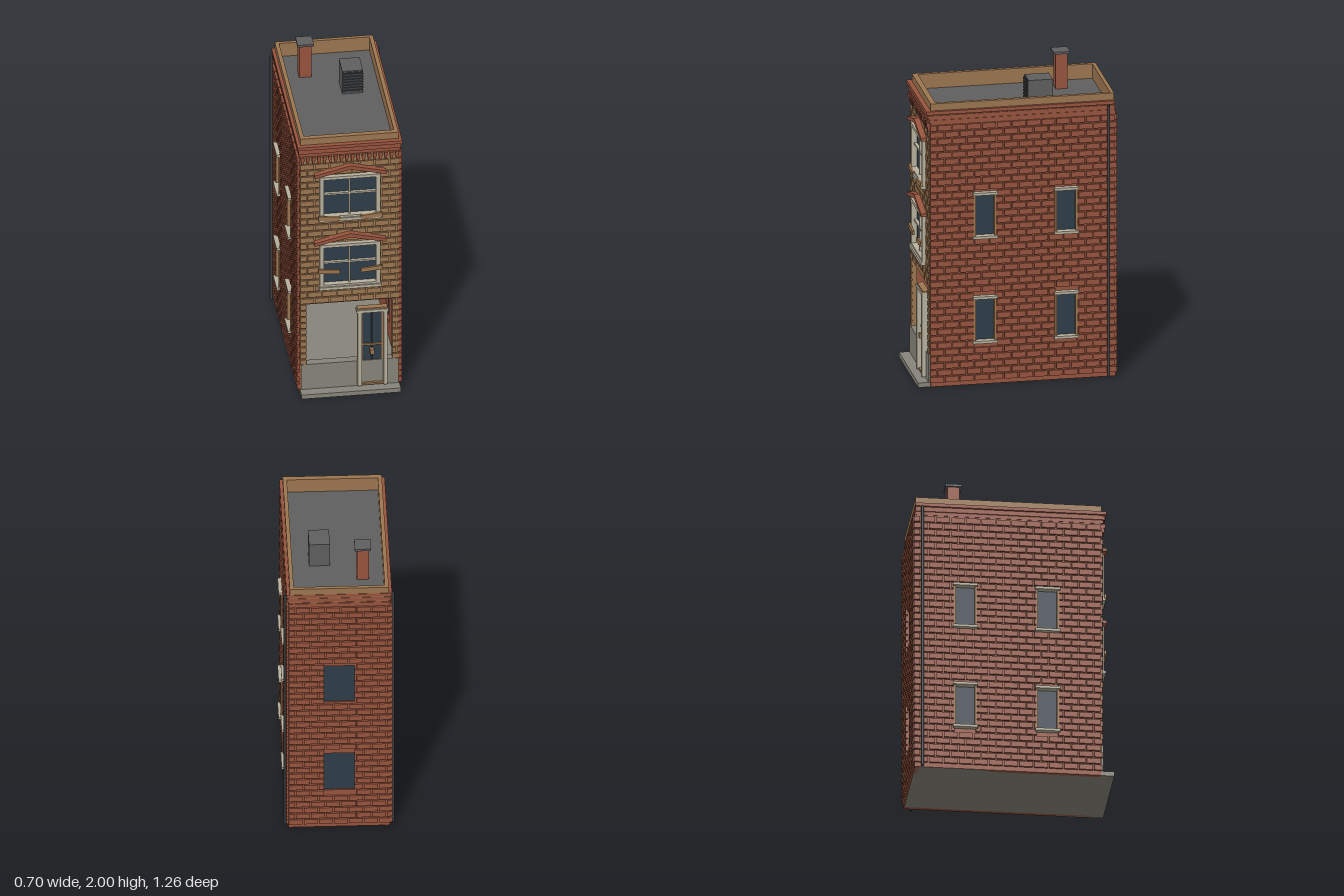
import * as THREE from 'three';
import { mergeGeometries } from 'three/addons/utils/BufferGeometryUtils.js';

const mat = (name, color) => Object.assign(new THREE.MeshStandardMaterial({ color }), { name });
const M = {
  brick: mat('red brick', 0x98543e),
  tan: mat('tan brick', 0x9c7650),
  cream: mat('cream trim', 0xb8b19d),
  glass: mat('dark glass', 0x2e3d49),
  stone: mat('grey stone', 0x87857a),
  roof: mat('roof grey', 0x5f5f5f),
  iron: mat('dark iron', 0x3d4043),
};

// Box geometry from its min and max corners
function span(x0, x1, y0, y1, z0, z1) {
  return new THREE.BoxGeometry(x1 - x0, y1 - y0, z1 - z0)
    .translate((x0 + x1) / 2, (y0 + y1) / 2, (z0 + z1) / 2);
}
function add(parent, name, geo, material) {
  const m = new THREE.Mesh(Array.isArray(geo) ? mergeGeometries(geo) : geo, material);
  m.name = name;
  parent.add(m);
  return m;
}
function rect(path, x0, x1, y0, y1) {
  path.moveTo(x0, y0); path.lineTo(x1, y0); path.lineTo(x1, y1); path.lineTo(x0, y1); path.closePath();
  return path;
}
function pierced(outer, holes, depth) {
  const s = rect(new THREE.Shape(), ...outer);
  holes.forEach(h => s.holes.push(rect(new THREE.Path(), ...h)));
  return new THREE.ExtrudeGeometry(s, { depth, bevelEnabled: false });
}
// Horizontal ring around the roof, seen in plan as x and z ranges
function ring(x, z0, z1, ix, iz0, iz1, y0, y1) {
  return pierced([-x, x, -z1, -z0], [[-ix, ix, -iz1, -iz0]], y1 - y0).rotateX(-Math.PI / 2).translate(0, y0, 0);
}

// Raised running-bond bricks, cut around the openings
function bricks([u0, u1, v0, v1], holes, depth) {
  const L = 0.094, H = 0.0445, gap = 0.009, out = [];
  for (let r = 0, v = v0; v + H <= v1 + 0.01; r++, v += H) {
    const top = v + H - gap;
    for (let u = u0 - (r % 2) * L / 2; u < u1; u += L) {
      let parts = [[Math.max(u, u0), Math.min(u + L - gap, u1)]];
      for (const [a, b, c, d] of holes) {
        if (top <= c || v >= d) continue;
        parts = parts.flatMap(([p, q]) => (q <= a || p >= b) ? [[p, q]] : [[p, Math.min(q, a)], [Math.max(p, b), q]]);
      }
      for (const [p, q] of parts) if (q - p > 0.008) out.push(span(p, q, v, top, -0.004, depth));
    }
  }
  return out;
}
// Wall in its own plane, outside towards local +z
function wall(parent, name, outer, brickArea, holes, material, depth) {
  const g = new THREE.Group();
  g.name = name;
  add(g, name + 'Panel', pierced(outer, holes, 0.028).translate(0, 0, -0.028), material);
  add(g, name + 'Bricks', bricks(brickArea, holes, depth), material);
  parent.add(g);
  return g;
}

const FLOORS = [[0.285, 0.57], [0.97, 1.25]];

function sideWall(parent, s) {
  const holes = [];
  for (const z of [0.21, -0.305]) for (const [y0, y1] of FLOORS) {
    const u = -s * (z + 0.035);
    holes.push([u - 0.067, u + 0.067, y0, y1]);
  }
  const name = s > 0 ? 'leftWall' : 'rightWall';
  const g = wall(parent, name, [-0.585, 0.585, 0, 1.74], [-0.59, 0.59, 0.03, 1.735], holes, M.brick, 0.014);
  g.position.set(s * 0.315, 0, -0.035);
  g.rotation.y = s * Math.PI / 2;
  for (const [a, b, c, d] of holes) {
    add(g, 'sideGlass', span(a, b, c, d, -0.016, -0.008), M.glass);
    add(g, 'sideJambs', [span(a - 0.006, a + 0.008, c, d, -0.01, 0.02), span(b - 0.008, b + 0.006, c, d, -0.01, 0.02)], M.tan);
    add(g, 'lintelAndSill', [span(a - 0.011, b + 0.011, d - 0.006, d + 0.011, -0.01, 0.035),
      span(a - 0.011, b + 0.011, c - 0.011, c + 0.006, -0.01, 0.035)], M.cream);
  }
}

// Front window with cream frame, gable hood and two tilted boards
function frontWindow(parent, y0, y1, rail, boardY) {
  const g = new THREE.Group();
  g.name = 'frontWindow';
  parent.add(g);
  add(g, 'frontGlass', span(-0.18, 0.18, y0, y1, 0.535, 0.543), M.glass);
  add(g, 'windowFrame', pierced([-0.19, 0.19, y0, y1], [[-0.163, 0.163, y0 + 0.025, y1 - 0.02]], 0.045).translate(0, 0, 0.535), M.cream);
  add(g, 'windowBars', [span(-0.006, 0.006, y0, y1, 0.54, 0.562),
    span(-0.17, 0.17, rail - 0.006, rail + 0.006, 0.54, 0.562)], M.cream);
  add(g, 'windowSill', span(-0.195, 0.195, y0 - 0.008, y0 + 0.012, 0.54, 0.59), M.cream);
  for (const s of [-1, 1]) {
    const hood = new THREE.Shape([[0, 0.055], [s * 0.225, 0.005], [s * 0.225, 0.027], [0, 0.083]].map(p => new THREE.Vector2(...p)));
    add(g, 'gableHood', new THREE.ExtrudeGeometry(hood, { depth: 0.045, bevelEnabled: false }).translate(0, y1, 0.55), M.brick);
    const board = add(g, 'tiltedBoard', new THREE.BoxGeometry(0.135, 0.028, 0.014), M.tan);
    board.position.set(s * 0.133, boardY, 0.587);
    board.rotation.z = s * 0.09;
  }
}

export function createModel() {
  const model = new THREE.Group();
  model.name = 'brickTownhouse';

  // Hollow brick shell
  sideWall(model, 1);
  sideWall(model, -1);
  const backHoles = FLOORS.map(([a, b]) => [-0.095, 0.095, a, b]);
  const back = wall(model, 'backWall', [-0.315, 0.315, 0, 1.74], [-0.315, 0.315, 0.03, 1.735], backHoles, M.brick, 0.012);
  back.position.z = -0.618;
  back.rotation.y = Math.PI;
  for (const h of backHoles) add(back, 'backGlass', span(...h, -0.018, -0.01), M.glass);

  // Tan front with open shop bay
  const frontHoles = [[-0.18, 0.18, 1.265, 1.575], [-0.18, 0.18, 0.765, 1.08], [-0.272, 0.268, 0.2, 0.64]];
  const front = wall(model, 'frontWall', [-0.31, 0.31, 0.18, 1.74], [-0.31, 0.31, 0.205, 1.69], frontHoles, M.tan, 0.01);
  front.position.z = 0.55;
  frontWindow(model, 1.265, 1.575, 1.44, 1.28);
  frontWindow(model, 0.765, 1.08, 0.94, 0.893);

  // Ground slab, shop floor, base and step
  add(model, 'groundSlab', span(-0.312, 0.312, 0, 0.03, -0.615, 0.63), M.stone);
  add(model, 'shopFloor', span(-0.288, 0.288, 0.16, 0.18, -0.59, 0.53), M.stone);
  add(model, 'shopBase', span(-0.305, 0.305, 0.03, 0.21, 0.51, 0.564), M.stone);

  // Shop door
  add(model, 'doorPosts', [span(0.047, 0.073, 0.04, 0.575, 0.545, 0.59), span(0.21, 0.234, 0.04, 0.575, 0.545, 0.59)], M.cream);
  add(model, 'doorHeader', span(0.04, 0.24, 0.572, 0.592, 0.545, 0.592), M.cream);
  add(model, 'doorHeaderCap', span(0.045, 0.235, 0.592, 0.602, 0.545, 0.585), M.tan);
  add(model, 'doorGlass', span(0.073, 0.21, 0.21, 0.572, 0.55, 0.558), M.glass);
  add(model, 'doorRails', [span(0.073, 0.21, 0.32, 0.332, 0.555, 0.568), span(0.073, 0.21, 0.04, 0.052, 0.555, 0.58),
    span(0.073, 0.083, 0.21, 0.572, 0.555, 0.566), span(0.2, 0.21, 0.21, 0.572, 0.555, 0.566)], M.tan);
  add(model, 'doorStile', span(0.135, 0.141, 0.21, 0.572, 0.555, 0.566), M.iron);
  add(model, 'doorHandle', span(0.125, 0.15, 0.265, 0.3, 0.56, 0.592), M.tan);

  // Cornice bands and dentils
  for (const [x, z, y0, y1] of [[0.318, 0.56, 1.725, 1.745], [0.322, 0.57, 1.75, 1.777], [0.328, 0.58, 1.783, 1.805]])
    add(model, 'corniceBand', ring(x, -0.615, z, 0.3, -0.605, 0.53, y0, y1), M.brick);
  add(model, 'corniceCore', ring(0.314, -0.612, 0.553, 0.3, -0.605, 0.53, 1.72, 1.8), M.brick);
  const dentils = [];
  for (let i = 0; i < 18; i++) {
    const x = -0.2975 + i * 0.035;
    dentils.push(span(x - 0.011, x + 0.011, 1.7, 1.726, 0.55, 0.575), span(x - 0.007, x + 0.007, 1.672, 1.7, 0.55, 0.568));
  }
  add(model, 'dentils', dentils, M.brick);

  // Roof deck and parapet
  add(model, 'parapet', ring(0.308, -0.613, 0.549, 0.283, -0.59, 0.515, 1.73, 1.85), M.tan);
  add(model, 'roofDeck', span(-0.29, 0.29, 1.735, 1.755, -0.595, 0.52), M.roof);

  // Chimney
  add(model, 'chimney', span(-0.193, -0.117, 1.75, 1.986, -0.4, -0.325), M.brick);
  add(model, 'chimneyCap', span(-0.206, -0.104, 1.985, 2, -0.414, -0.31), M.roof);

  // Roof ventilator with louvres
  add(model, 'ventilator', span(0.045, 0.175, 1.75, 1.92, -0.25, -0.097), M.roof);
  add(model, 'ventPanel', span(0.05, 0.17, 1.765, 1.912, -0.098, -0.093), M.iron);
  const slats = [];
  for (let y = 1.775; y < 1.91; y += 0.02) slats.push(span(0.045, 0.175, y, y + 0.009, -0.096, -0.086));
  add(model, 'ventLouvres', slats, M.iron);

  // Downpipes
  for (const s of [-1, 1])
    add(model, 'downpipe', new THREE.CylinderGeometry(0.009, 0.009, 1.78, 8).translate(s * 0.336, 0.89, -0.573), M.iron);
  return model;
}
